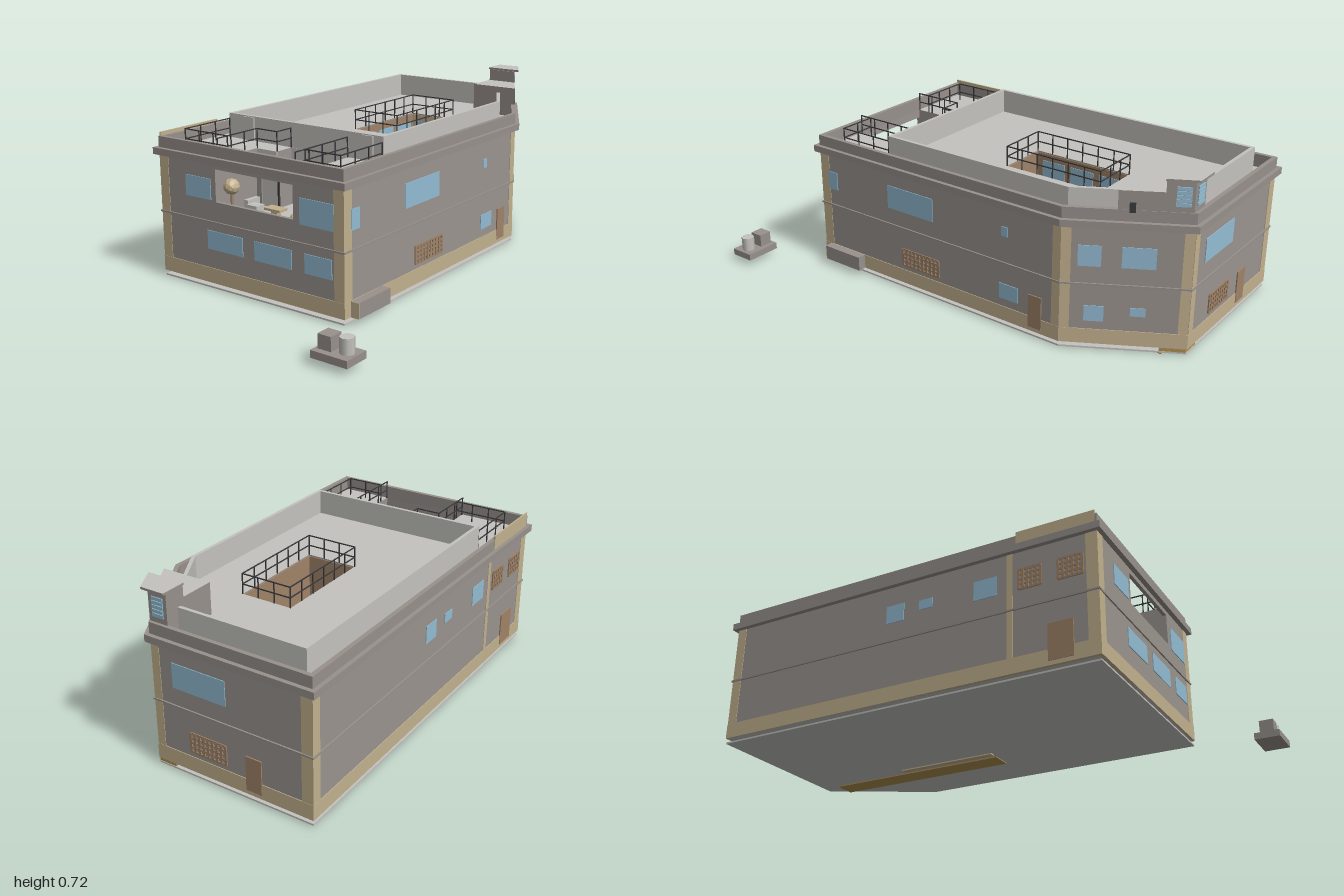
import * as THREE from 'three';

const mat = (name, hex) => {
  const m = new THREE.MeshStandardMaterial({ color: hex });
  m.name = name;
  return m;
};

export function createModel() {
  const root = new THREE.Group();
  root.name = 'building';
  const M = {
    wall: mat('wall grey', 0x9b948f), trim: mat('trim grey', 0x98918c),
    roof: mat('pale concrete', 0xc4c3be), tan: mat('tan stone', 0xc2b18e),
    glass: mat('window blue', 0x93bcd3), brown: mat('door brown', 0xa08368),
    metal: mat('dark metal', 0x3a3a3c), wood: mat('ochre wood', 0xb08f50),
  };
  const add = (parent, name, geo, m) => {
    const mesh = new THREE.Mesh(geo, m);
    mesh.name = name;
    parent.add(mesh);
    return mesh;
  };
  // Box given by its limits on each axis
  const box = (name, m, x0, x1, y0, y1, z0, z1, parent = root) => {
    const b = add(parent, name, new THREE.BoxGeometry(x1 - x0, y1 - y0, z1 - z0), m);
    b.position.set((x0 + x1) / 2, (y0 + y1) / 2, (z0 + z1) / 2);
    return b;
  };
  // Plan polygon [x, z] raised from y0 to y1
  const toVecs = (pts) => pts.map(([x, z]) => new THREE.Vector2(x, -z));
  const raise = (name, m, pts, y0, y1, holes = []) => {
    const s = new THREE.Shape(toVecs(pts));
    holes.forEach((h) => s.holes.push(new THREE.Path(toVecs(h))));
    const g = new THREE.ExtrudeGeometry(s, { depth: y1 - y0, bevelEnabled: false });
    g.rotateX(-Math.PI / 2).translate(0, y0, 0);
    return add(root, name, g, m);
  };
  const rect = (x0, x1, z0, z1) => [[x0, z0], [x1, z0], [x1, z1], [x0, z1]];

  // Building outline with one cut corner, grown outward by o
  const NX = 0.868, NZ = -0.496, ND = 0.573, DECK = 0.535;
  const outline = (o, front = 0.675 + o, notch = []) => {
    const x1 = 0.34 + o, zb = -0.98 - o;
    return [[-0.585 - o, front], ...notch, [x1, front],
      [x1, (NX * x1 - ND - o) / -NZ], [(ND + o - NZ * zb) / NX, zb], [-0.585 - o, zb]];
  };
  const court = rect(-0.185, 0.035, -0.535, -0.09);
  const loggia = [[-0.285, 0.675], [-0.285, 0.43], [-0.18, 0.43], [-0.18, 0.34], [0.105, 0.34], [0.105, 0.675]];

  // Ground slab and main body
  raise('groundSlab', M.roof, outline(0), 0.005, 0.012);
  raise('lowerStorey', [M.roof, M.wall], outline(0), 0.028, 0.3, [court]);
  raise('upperStorey', [M.roof, M.wall], outline(0, 0.675, loggia), 0.3, DECK, [court]);
  box('loggiaSill', M.wall, -0.285, 0.105, 0.3, 0.365, 0.66, 0.675);
  box('loggiaLintel', M.wall, -0.285, 0.105, 0.497, DECK, 0.66, 0.675);

  // Bands running round the building
  const ring = (name, m, o, i, y0, y1) => raise(name, m, outline(o), y0, y1, [outline(i)]);
  ring('plinth', M.tan, 0.003, -0.01, 0.028, 0.09);
  ring('stringCourse', M.trim, 0.006, -0.01, 0.278, 0.285);
  ring('cornice', M.trim, 0.02, -0.012, 0.517, 0.545);
  ring('parapet', M.trim, 0.003, -0.015, 0.53, 0.59);
  box('parapetPlate', M.tan, -0.589, -0.582, 0.545, 0.605, 0.35, 0.67);

  // Raised roof wall with two front access panels
  raise('roofWall', M.roof, outline(-0.067, 0.342), 0.53, 0.638, [outline(-0.082, 0.327)]);
  [[-0.435, -0.378], [0.17, 0.227]].forEach(([a, b]) =>
    box('accessPanel', M.roof, a, b, DECK, 0.634, 0.34, 0.348));

  // Stair head and vent tower at the cut corner
  raise('stairHead', [M.roof, M.trim], [[0.025, -0.735], [0.242, -0.735], [0.155, -0.885], [0.025, -0.885]], 0.53, 0.665);
  raise('ventTower', M.trim, [[0.025, -0.88], [0.158, -0.88], [0.106, -0.97], [0.025, -0.97]], 0.53, 0.715);
  raise('towerCap', [M.roof, M.trim], [[0.016, -0.885], [0.176, -0.885], [0.118, -0.992], [0.016, -0.992]], 0.715, 0.724);

  // Wall frames: local x runs along the wall, local z points outward
  const frame = (name, x, z, ry) => {
    const g = new THREE.Group();
    g.name = name;
    g.position.set(x, 0, z);
    g.rotation.y = ry;
    root.add(g);
    return g;
  };
  const front = frame('frontWall', 0, 0.675, 0);
  const right = frame('eastWall', 0.34, 0, Math.PI / 2);
  const back = frame('backWall', 0, -0.98, Math.PI);
  const left = frame('westWall', -0.585, 0, -Math.PI / 2);
  const cut = frame('cutCornerWall', 0.34, -0.56, Math.atan2(NX, NZ));
  const panel = (w, name, m, u0, u1, y0, y1, t = 0.003) => box(name, m, u0, u1, y0, y1, -0.003, t, w);
  const grille = (w, u0, u1, y0, y1, cols, rows) => {
    for (let i = 0; i <= cols; i++) {
      const u = u0 + ((u1 - u0) * i) / cols;
      panel(w, 'grilleBar', M.brown, u - 0.005, u + 0.005, y0, y1, 0.005);
    }
    for (let j = 0; j <= rows; j++) {
      const y = y0 + ((y1 - y0) * j) / rows;
      panel(w, 'grilleBar', M.brown, u0, u1, y - 0.004, y + 0.004, 0.004);
    }
  };

  // Corner pilasters
  [[front, -0.587, -0.54], [front, 0.295, 0.342], [right, -0.677, -0.63], [right, 0.525, 0.561],
    [cut, 0, 0.038], [cut, 0.446, 0.484], [back, -0.1, -0.065], [back, 0.54, 0.587],
    [left, -0.982, -0.94], [left, 0.63, 0.677], [left, 0.31, 0.335]]
    .forEach(([w, a, b]) => panel(w, 'pilaster', M.tan, a, b, 0.03, 0.517, 0.002));

  // Windows
  [[front, -0.445, -0.31, 0.37, 0.455], [front, 0.137, 0.295, 0.353, 0.455],
    [front, -0.335, -0.15, 0.168, 0.245], [front, -0.09, 0.095, 0.168, 0.245], [front, 0.157, 0.285, 0.168, 0.245],
    [right, -0.635, -0.585, 0.355, 0.435], [right, -0.295, -0.055, 0.355, 0.455],
    [right, 0.29, 0.32, 0.395, 0.435], [right, 0.28, 0.37, 0.125, 0.19],
    [cut, 0.063, 0.15, 0.355, 0.44], [cut, 0.225, 0.351, 0.355, 0.44],
    [cut, 0.092, 0.167, 0.125, 0.19], [cut, 0.265, 0.323, 0.155, 0.19],
    [back, -0.01, 0.225, 0.355, 0.455],
    [left, -0.22, -0.14, 0.36, 0.435], [left, -0.07, -0.01, 0.385, 0.425], [left, 0.17, 0.27, 0.36, 0.44]]
    .forEach(([w, a, b, c, d]) => panel(w, 'window', M.glass, a, b, c, d));

  // Doors and grilles
  [[right, 0.42, 0.48, 0.045, 0.185], [back, 0.305, 0.372, 0.045, 0.185], [left, 0.475, 0.575, 0.045, 0.19]]
    .forEach(([w, a, b, c, d]) => panel(w, 'door', M.brown, a, b, c, d, 0.005));
  grille(right, -0.22, -0.03, 0.112, 0.185, 9, 4);
  grille(back, 0.06, 0.217, 0.112, 0.19, 8, 4);
  grille(left, 0.36, 0.45, 0.36, 0.44, 5, 4);
  grille(left, 0.52, 0.615, 0.36, 0.44, 5, 4);

  // Tower louvres and stair head opening
  panel(cut, 'stairHeadOpening', M.metal, 0.242, 0.265, 0.58, 0.62, 0.004);
  for (let i = 0; i < 5; i++) {
    const y = 0.612 + i * 0.016;
    panel(cut, 'towerLouvre', M.glass, 0.405, 0.46, y, y + 0.013, 0.004);
    box('towerLouvre', M.glass, 0.04, 0.09, y, y + 0.013, -0.974, -0.968);
  }

  // Loggia lining, windows and furniture
  box('loggiaBackLining', M.roof, -0.18, 0.105, 0.3, DECK, 0.34, 0.344);
  box('loggiaSideLining', M.roof, -0.285, -0.18, 0.3, DECK, 0.43, 0.434);
  box('loggiaPier', M.wall, -0.285, -0.26, 0.3, 0.5, 0.434, 0.44);
  box('loggiaPost', M.metal, -0.18, -0.173, 0.3, 0.5, 0.427, 0.434);
  [[-0.167, -0.1, 0.39, 0.455], [-0.057, 0.01, 0.39, 0.455], [0.04, 0.1, 0.3, 0.435]]
    .forEach(([a, b, c, d]) => {
      box('loggiaWindowFrame', M.trim, a - 0.003, b + 0.003, c - 0.003, d + 0.003, 0.343, 0.346);
      box('loggiaWindow', M.glass, a, b, c, d, 0.344, 0.348);
    });
  box('table', M.tan, -0.135, -0.055, 0.335, 0.345, 0.52, 0.568);
  box('tableLeg', M.tan, -0.11, -0.08, 0.3, 0.335, 0.53, 0.555);
  box('bench', M.roof, -0.167, -0.02, 0.3, 0.33, 0.59, 0.642);
  [[-0.24, -0.187], [0, 0.05]].forEach(([a, b]) => box('chair', M.roof, a, b, 0.3, 0.335, 0.507, 0.552));
  box('sideboard', M.roof, -0.283, -0.262, 0.3, 0.34, 0.45, 0.52);

  // Faceted round plants on thin trunks
  const plant = (x, z, ground, y, r) => {
    add(root, 'plantTrunk', new THREE.CylinderGeometry(r * 0.15, r * 0.2, y - ground, 6), M.brown)
      .position.set(x, (y + ground) / 2, z);
    const g = new THREE.IcosahedronGeometry(r, 1);
    g.computeVertexNormals();
    add(root, 'plantCrown', g, M.tan).position.set(x, y, z);
  };
  plant(-0.252, 0.62, 0.3, 0.422, 0.033);
  plant(0.072, 0.625, 0.3, 0.352, 0.02);

  // Courtyard: lining, glazing, floor, pool, tree
  box('courtFloor', M.roof, -0.185, 0.035, 0.024, 0.032, -0.535, -0.09);
  box('courtLining', M.brown, -0.185, -0.181, 0.03, 0.53, -0.535, -0.09);
  box('courtLining', M.brown, 0.031, 0.035, 0.03, 0.53, -0.535, -0.09);
  box('courtLining', M.tan, -0.185, 0.035, 0.03, 0.53, -0.535, -0.531);
  box('courtLining', M.brown, -0.185, 0.035, 0.03, 0.53, -0.094, -0.09);
  for (const y of [0.1, 0.35]) {
    box('courtWindow', M.glass, -0.165, 0.015, y, y + 0.15, -0.532, -0.528);
    for (let i = 0; i < 3; i++) {
      const z = -0.51 + i * 0.14;
      box('courtWindow', M.glass, -0.182, -0.178, y, y + 0.15, z, z + 0.11);
    }
  }
  box('pool', M.glass, -0.165, -0.06, 0.03, 0.04, -0.487, -0.41);
  box('poolPump', M.metal, -0.165, -0.13, 0.03, 0.055, -0.48, -0.447);
  box('courtTerrace', M.roof, -0.12, 0.03, 0.03, 0.038, -0.38, -0.14);
  box('courtTable', M.tan, -0.093, -0.047, 0.038, 0.07, -0.3, -0.22);
  plant(-0.027, -0.45, 0.03, 0.3, 0.067);

  // Railings along plan paths
  const railing = (name, pts, y0, y1) => {
    const g = new THREE.Group();
    g.name = name;
    root.add(g);
    const t = 0.002;
    for (let i = 0; i + 1 < pts.length; i++) {
      const [ax, az] = pts[i], [bx, bz] = pts[i + 1];
      for (const y of [y1, (y0 + y1) / 2]) {
        box('rail', M.metal, Math.min(ax, bx) - t, Math.max(ax, bx) + t, y - 2 * t, y, Math.min(az, bz) - t, Math.max(az, bz) + t, g);
      }
      const n = Math.max(1, Math.round(Math.hypot(bx - ax, bz - az) / 0.08));
      for (let k = 0; k <= n; k++) {
        const x = ax + ((bx - ax) * k) / n, z = az + ((bz - az) * k) / n;
        box('post', M.metal, x - t, x + t, y0, y1, z - t, z + t, g);
      }
    }
  };
  railing('courtRailing', [...court, court[0]], DECK, 0.622);
  railing('terraceRailing', [[-0.515, 0.345], [-0.515, 0.6], [-0.285, 0.6]], DECK, 0.617);
  railing('terraceRailing', [[-0.285, 0.655], [-0.285, 0.43], [-0.18, 0.43], [-0.18, 0.345]], DECK, 0.617);
  railing('terraceRailing', [[0.105, 0.655], [0.105, 0.345]], DECK, 0.617);
  railing('terraceRailing', [[0.105, 0.6], [0.27, 0.6], [0.27, 0.345]], DECK, 0.617);

  // Timber under the building and at the corner entrance
  raise('cornerStep', M.wood, [[0.025, -0.89], [0.15, -0.89], [0.102, -0.978], [0.025, -0.978]], 0.012, 0.028);
  box('underPlank', M.wood, 0.06, 0.15, 0.001, 0.005, -0.9, -0.09);
  box('underBeam', M.tan, 0.015, 0.04, 0, 0.005, -0.53, -0.09);

  // Side bench box and the separate service plinth
  box('sideBox', M.trim, 0.34, 0.38, 0.028, 0.09, 0.445, 0.64);
  box('sideBoxFront', M.tan, 0.344, 0.38, 0.028, 0.09, 0.64, 0.643);
  box('servicePlinth', M.trim, 0.445, 0.6, 0.028, 0.056, 0.895, 1);
  box('serviceBox', M.trim, 0.458, 0.514, 0.056, 0.11, 0.917, 0.975);
  add(root, 'serviceTank', new THREE.CylinderGeometry(0.027, 0.027, 0.059, 8), M.roof).position.set(0.56, 0.0855, 0.946);

  return root;
}
